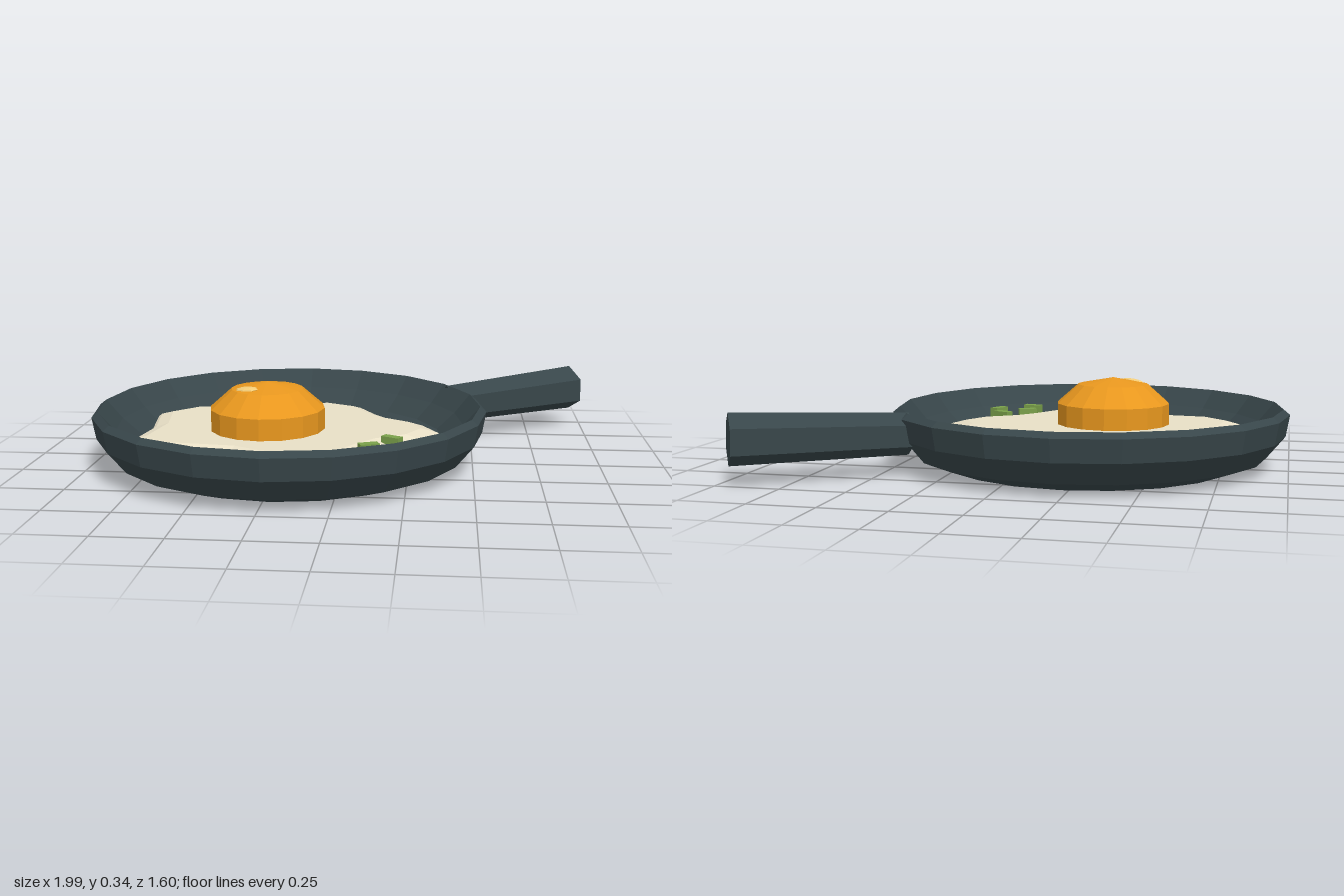
import * as THREE from 'three';

const mat = (color) => new THREE.MeshStandardMaterial({ color, flatShading: true });
const iron = mat(0x38464a), cream = mat(0xe8dfc6), amber = mat(0xe8971e);
const shine = mat(0xf2cc78), green = mat(0x7aa04a);

const PAN = [-0.225, 0.02]; // pan centre in x, z
const MID_Z = 0.055; // mirror line of the egg white

function add(group, name, geometry, material, x = 0, y = 0, z = 0) {
  const mesh = new THREE.Mesh(geometry, material);
  mesh.name = name;
  mesh.position.set(x, y, z);
  group.add(mesh);
  return mesh;
}

function lathe(profile, sides) {
  return new THREE.LatheGeometry(profile.map(([r, y]) => new THREE.Vector2(r, y)), sides);
}

// Loft an outline through scaled rings and close it with a fan on top
function slab(outline, [cx, cz], rings) {
  const n = outline.length, pos = [], index = [];
  for (const [s, y] of rings)
    for (const [x, z] of outline) pos.push(cx + (x - cx) * s, y, cz + (z - cz) * s);
  const top = (rings.length - 1) * n, centre = rings.length * n;
  pos.push(cx, rings[rings.length - 1][1], cz);
  for (let i = 0; i < n; i++) {
    const j = (i + 1) % n;
    for (let k = 0; k < top; k += n)
      index.push(k + i, k + n + i, k + j, k + j, k + n + i, k + n + j);
    index.push(centre, top + j, top + i);
  }
  const geometry = new THREE.BufferGeometry();
  geometry.setAttribute('position', new THREE.Float32BufferAttribute(pos, 3));
  geometry.setIndex(index);
  geometry.computeVertexNormals();
  return geometry;
}

export function createModel() {
  const model = new THREE.Group();
  model.name = 'fryingPanWithEgg';

  // Pan: outside from the base up, over the rim and down to the floor
  add(model, 'pan', lathe([
    [0, 0], [0.565, 0], [0.69, 0.045], [0.76, 0.13], [0.775, 0.215],
    [0.75, 0.235], [0.685, 0.16], [0.61, 0.095], [0, 0.095],
  ], 20), iron, PAN[0], 0, PAN[1]);

  // Handle: tapered six-sided bar, a corner on top
  const start = new THREE.Vector3(0.395, 0.155, -0.38);
  const end = new THREE.Vector3(0.947, 0.168, -0.735);
  const bar = new THREE.CylinderGeometry(0.097, 0.08, start.distanceTo(end), 6).rotateX(Math.PI / 2);
  const handle = add(model, 'handle', bar, iron);
  handle.position.copy(start).lerp(end, 0.5);
  handle.lookAt(end);

  // Egg white: half an outline, mirrored front to back
  const back = [
    [-0.815, -0.185], [-0.71, -0.295], [-0.4, -0.33], [-0.275, -0.4], [-0.095, -0.44],
    [0.035, -0.375], [0.11, -0.245], [0.185, -0.15], [0.315, -0.065],
  ];
  const front = back.map(([x, z]) => [x, 2 * MID_Z - z]).reverse();
  const outline = [[-0.78, MID_Z], ...back, [0.38, MID_Z], ...front];
  add(model, 'eggWhite', slab(outline, [-0.27, MID_Z], [[1, 0.09], [1, 0.122], [0.97, 0.135], [0.87, 0.152]]), cream);

  // Yolk with a small highlight
  add(model, 'yolk', lathe([
    [0.225, 0.12], [0.225, 0.235], [0.14, 0.31], [0, 0.337],
  ], 16), amber, -0.305, 0, 0.095);
  const glint = add(model, 'yolkHighlight', new THREE.SphereGeometry(0.05, 8, 6), shine, -0.375, 0.316, 0.163);
  glint.scale.set(1, 0.2, 0.55);
  glint.rotation.set(0.15, -0.4, 0.15);

  // Chopped chives: x, z, turn
  const chives = [[0.19, 0.25, -0.5], [0.11, 0.36, 0.4], [0.24, 0.375, 1.1], [0.115, 0.49, -0.2]];
  chives.forEach(([x, z, turn], i) => {
    const chive = add(model, `chive${i + 1}`, new THREE.BoxGeometry(0.075, 0.05, 0.036), green, x, 0.14, z);
    chive.rotation.y = turn;
  });

  return model;
}
